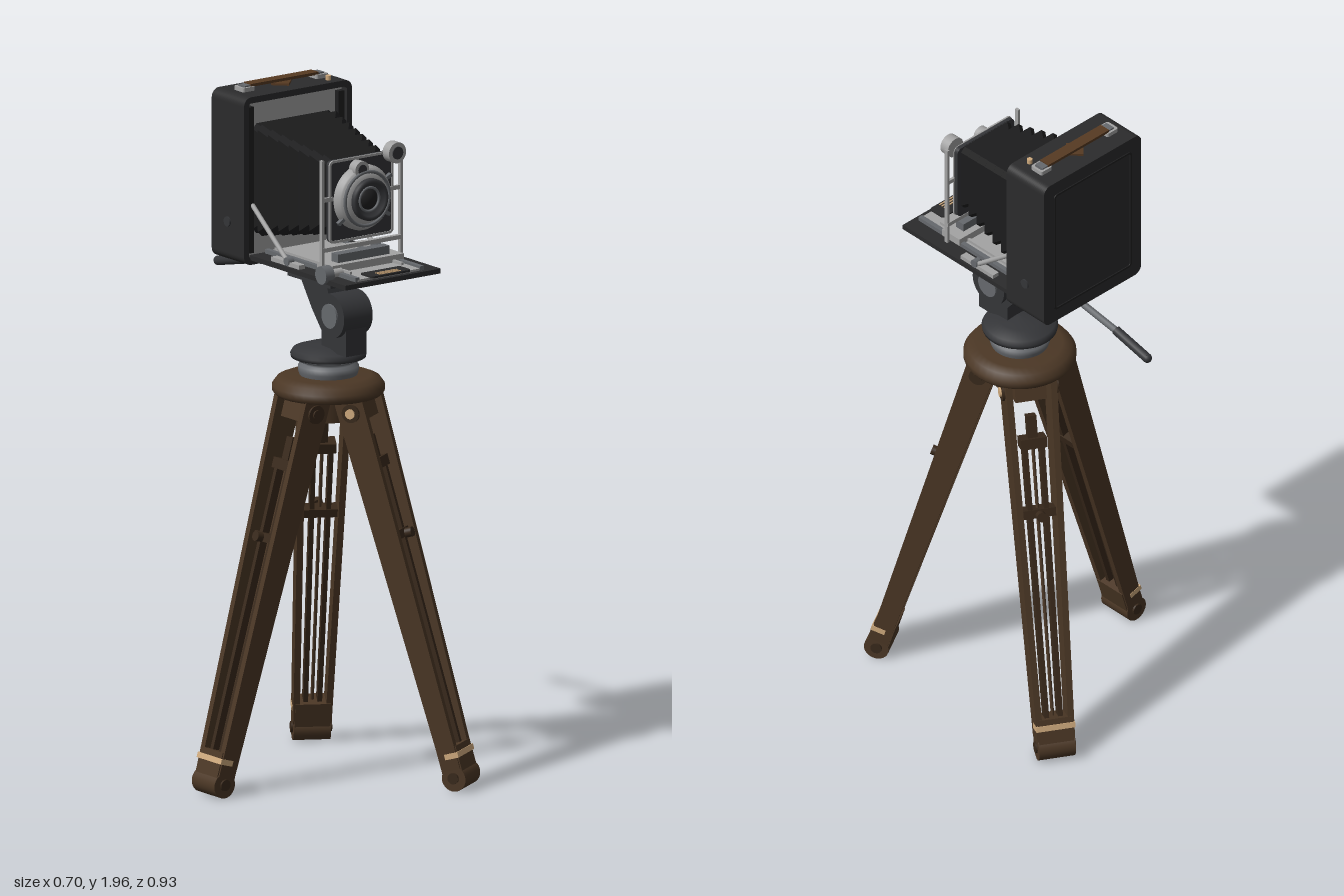
import * as THREE from 'three';

const material = (name, color, side = THREE.FrontSide) => {
  const m = new THREE.MeshStandardMaterial({ color, side });
  m.name = name;
  return m;
};
const M = {
  body: material('black leatherette', 0x2b2b2c),
  bellows: material('bellows black', 0x1f1f20, THREE.DoubleSide),
  head: material('dark metal', 0x343538),
  steel: material('steel grey', 0x66696d),
  silver: material('silver', 0xa3a3a3),
  wood: material('walnut', 0x4b3725),
  darkWood: material('dark walnut', 0x39291b),
  strap: material('brown leather', 0x573a22),
  tan: material('brass tan', 0xd0ab7e),
};
const CX = 0.09, CZ = 0.055; // tripod axis

function add(parent, name, geo, mat, pos = [0, 0, 0], rot = [0, 0, 0]) {
  const mesh = new THREE.Mesh(geo, mat);
  mesh.name = name;
  mesh.position.set(...pos);
  mesh.rotation.set(...rot);
  parent.add(mesh);
  return mesh;
}
const box = (w, h, d) => new THREE.BoxGeometry(w, h, d);
const cyl = (r, h, r2 = r, n = 28) => new THREE.CylinderGeometry(r, r2, h, n);
const H = Math.PI / 2;

// Box whose x/z size shrinks from top to bottom
function taper(w0, w1, h, d) {
  const g = box(1, h, d), p = g.attributes.position;
  for (let i = 0; i < p.count; i++) p.setX(i, p.getX(i) * (p.getY(i) > 0 ? w0 : w1));
  g.computeVertexNormals();
  return g;
}
// Rounded rectangle path centred on the origin
function roundRect(w, h, r, Type = THREE.Shape) {
  const s = new Type(), x = w / 2, y = h / 2;
  s.absarc(x - r, y - r, r, 0, H);
  s.absarc(-x + r, y - r, r, H, 2 * H);
  s.absarc(-x + r, -y + r, r, 2 * H, 3 * H);
  s.absarc(x - r, -y + r, r, 3 * H, 4 * H);
  s.closePath();
  return s;
}
const extrude = (shape, depth) =>
  new THREE.ExtrudeGeometry(shape, { depth, bevelEnabled: false, curveSegments: 6 });
function ring(w, h, r, border, depth) {
  const s = roundRect(w, h, r);
  s.holes.push(roundRect(w - 2 * border, h - 2 * border, Math.max(r - border, 0.004), THREE.Path));
  return extrude(s, depth);
}
const lathe = (pts, n = 40) => new THREE.LatheGeometry(pts.map(p => new THREE.Vector2(...p)), n);
// Straight rod between two points
function rod(parent, name, a, b, r, mat, n = 12) {
  const A = new THREE.Vector3(...a), B = new THREE.Vector3(...b), d = B.clone().sub(A);
  const m = add(parent, name, cyl(r, d.length(), r, n), mat);
  m.position.copy(A).add(B).multiplyScalar(0.5);
  m.quaternion.setFromUnitVectors(new THREE.Vector3(0, 1, 0), d.normalize());
}

function makeLeg(angle) {
  const arm = new THREE.Group();
  arm.name = 'tripodLeg';
  arm.rotation.y = angle;
  const leg = new THREE.Group();
  leg.name = 'legFrame';
  leg.position.set(0.1, 1.1, 0);
  leg.rotation.z = 0.286;
  arm.add(leg);
  const L = 1.08;
  for (const s of [-1, 1]) {
    add(leg, 'outerRail', taper(0.085, 0.055, L, 0.018), M.wood,
      [0, 0.035 - L / 2, s * 0.055], [s * Math.asin(0.02 / L), 0, 0]);
    add(leg, 'innerRail', box(0.034, 0.9, 0.013), M.darkWood, [0, -0.6, s * 0.022], [s * 0.006, 0, 0]);
    add(leg, 'pivotWasher', cyl(0.026, 0.008), M.darkWood, [0, 0, s * 0.076], [H, 0, 0]);
    add(leg, 'pivotBolt', cyl(0.014, 0.01), s > 0 ? M.tan : M.darkWood, [0, 0, s * 0.08], [H, 0, 0]);
    add(leg, 'footBolt', cyl(0.016, 0.006), M.darkWood, [0, -1.068, s * 0.055], [H, 0, 0]);
  }
  add(leg, 'hingeTongue', box(0.07, 0.08, 0.09), M.wood, [-0.01, 0.01, 0]);
  add(leg, 'sliderHead', box(0.045, 0.03, 0.075), M.darkWood, [0, -0.16, 0]);
  add(leg, 'sliderTab', box(0.025, 0.07, 0.028), M.darkWood, [0, -0.115, 0]);
  add(leg, 'centreRod', cyl(0.005, 0.85, 0.005, 8), M.wood, [0, -0.6, 0]);
  add(leg, 'lockKnob', cyl(0.014, 0.02), M.darkWood, [0.043, -0.37, 0], [0, 0, H]);
  add(leg, 'crossBar', box(0.04, 0.025, 0.1), M.darkWood, [0, -0.37, 0]);
  // foot and its clamp
  add(leg, 'footBlock', box(0.062, 0.09, 0.1), M.wood, [0, -1.025, 0]);
  add(leg, 'footTip', cyl(0.036, 0.105), M.wood, [0, -1.07, 0], [H, 0, 0]);
  add(leg, 'footClamp', box(0.042, 0.016, 0.112), M.tan, [0.013, -1.005, 0]);
  return arm;
}

function makeTripod() {
  const g = new THREE.Group();
  g.name = 'tripod';
  g.position.set(CX - 0.003, 0, CZ);
  for (const a of [Math.PI, Math.PI / 3, -Math.PI / 3]) g.add(makeLeg(a));
  add(g, 'hub', cyl(0.095, 0.08, 0.08), M.wood, [0, 1.105, 0]);
  add(g, 'crown', lathe([[0, 1.135], [0.15, 1.135], [0.158, 1.145], [0.158, 1.16], [0.145, 1.178], [0.12, 1.188], [0, 1.19]]), M.wood);
  // levelling collar
  add(g, 'collar', lathe([[0.08, 1.185], [0.085, 1.2], [0.085, 1.215], [0.07, 1.22], [0.07, 1.228], [0.09, 1.232], [0.09, 1.242], [0, 1.242]]), M.steel);
  add(g, 'panDisc', lathe([[0, 1.24], [0.105, 1.24], [0.107, 1.25], [0.1, 1.262], [0.06, 1.275], [0, 1.28]]), M.head);
  return g;
}

function makeHead() {
  const g = new THREE.Group();
  g.name = 'panHead';
  // profile drawn with x = -z, extruded across the width
  const s = new THREE.Shape();
  [[-0.18, 1.265], [-0.065, 1.265], [-0.065, 1.32], [-0.02, 1.375], [0.03, 1.45], [0.05, 1.47], [0.05, 1.49], [-0.08, 1.49], [-0.1, 1.42], [-0.18, 1.38]]
    .forEach((p, i) => (i ? s.lineTo(...p) : s.moveTo(...p)));
  add(g, 'headBlock', extrude(s, 0.07), M.head, [CX - 0.035, 0, 0], [0, H, 0]);
  add(g, 'tiltDrum', cyl(0.063, 0.1), M.head, [CX, 1.375, 0.127], [0, 0, H]);
  add(g, 'tiltCap', cyl(0.035, 0.112), M.steel, [CX, 1.375, 0.127], [0, 0, H]);
  add(g, 'mountPlate', box(0.135, 0.03, 0.2), M.head, [CX, 1.475, 0.05]);
  add(g, 'quickPlate', box(0.11, 0.025, 0.16), M.steel, [CX, 1.498, 0.05]);
  rod(g, 'handleRod', [CX, 1.465, 0], [CX, 1.46, -0.2], 0.01, M.steel);
  rod(g, 'handleRod', [CX, 1.46, -0.2], [CX, 1.437, -0.35], 0.01, M.steel);
  rod(g, 'handleGrip', [CX, 1.44, -0.335], [CX, 1.411, -0.46], 0.0135, M.head, 16);
  add(g, 'gripEnd', new THREE.SphereGeometry(0.0135, 16, 10), M.head, [CX, 1.411, -0.46]);
  return g;
}

function makeBody() {
  const g = new THREE.Group();
  g.name = 'cameraBody';
  const y = 1.737;
  add(g, 'bodyShell', ring(0.377, 0.482, 0.025, 0.018, 0.14), M.body, [CX, y, -0.23]);
  add(g, 'bodyBack', extrude(roundRect(0.377, 0.482, 0.025), 0.012), M.body, [CX, y, -0.24]);
  add(g, 'backPanelRim', ring(0.3, 0.4, 0.012, 0.006, 0.004), M.bellows, [CX, y, -0.243]);
  add(g, 'innerPanel', box(0.342, 0.446, 0.01), M.silver, [CX, y, -0.12]);
  for (const s of [-1, 1]) add(g, 'innerSide', box(0.02, 0.42, 0.02), M.bellows, [CX + s * 0.158, y, -0.108]);
  for (const s of [-1, 1]) add(g, 'sideButton', cyl(0.014, 0.008), M.head, [CX + s * 0.189, 1.61, -0.165], [0, 0, H]);
  // carrying strap on top
  add(g, 'strap', box(0.235, 0.008, 0.034), M.strap, [CX, 1.993, -0.168]);
  add(g, 'strapDiamond', box(0.05, 0.006, 0.05), M.strap, [CX, 1.981, -0.168], [0, Math.PI / 4, 0]);
  for (const s of [-1, 1]) {
    const x = CX + s * 0.128;
    add(g, 'strapLoop', ring(0.042, 0.044, 0.006, 0.007, 0.012), M.silver, [x, 1.978, -0.168], [-H, 0, 0]);
    add(g, 'strapLug', box(0.02, 0.018, 0.03), M.steel, [x, 1.985, -0.168]);
  }
  add(g, 'releaseButton', cyl(0.008, 0.014), M.tan, [0.22, 1.984, -0.122]);
  return g;
}

// Folded bellows from chamfered rectangular cross-sections
function bellowsGeometry(folds) {
  const pos = [], idx = [], rings = folds * 2 + 1;
  for (let i = 0; i < rings; i++) {
    const t = i / (rings - 1), inset = i % 2 ? 0.016 : 0;
    const w = 0.15 - 0.052 * t - inset, h = 0.168 - 0.06 * t - inset, c = 0.014;
    const z = -0.125 + 0.315 * t;
    for (const [x, y] of [[w, h - c], [w - c, h], [c - w, h], [-w, h - c], [-w, c - h], [c - w, -h], [w - c, -h], [w, c - h]])
      pos.push(CX + x, 1.735 + y, z);
    if (i) for (let k = 0; k < 8; k++) {
      const a = (i - 1) * 8 + k, b = (i - 1) * 8 + (k + 1) % 8;
      idx.push(a, b, b + 8, a, b + 8, a + 8);
    }
  }
  const g = new THREE.BufferGeometry();
  g.setAttribute('position', new THREE.Float32BufferAttribute(pos, 3));
  g.setIndex(idx);
  const flat = g.toNonIndexed();
  flat.computeVertexNormals();
  return flat;
}

function makeBed() {
  const g = new THREE.Group();
  g.name = 'dropBed';
  add(g, 'bedPlate', box(0.333, 0.014, 0.445), M.body, [CX, 1.517, 0.128]);
  add(g, 'trackPlate', box(0.225, 0.006, 0.42), M.silver, [CX, 1.527, 0.125]);
  for (const s of [-1, 1]) {
    add(g, 'trackRail', box(0.014, 0.012, 0.42), M.steel, [CX + s * 0.113, 1.53, 0.125]);
    add(g, 'trackInner', box(0.008, 0.01, 0.35), M.silver, [CX + s * 0.09, 1.533, 0.1]);
    rod(g, 'bedStrut', [CX + s * 0.152, 1.53, 0.07], [CX + s * 0.152, 1.665, -0.1], 0.007, M.silver);
    add(g, 'strutFoot', box(0.022, 0.012, 0.13), M.silver, [CX + s * 0.148, 1.53, 0.06]);
    add(g, 'strutPivot', cyl(0.012, 0.02), M.steel, [CX + s * 0.152, 1.537, 0.07], [0, 0, H]);
  }
  add(g, 'focusKnob', cyl(0.026, 0.03, 0.026, 20), M.steel, [-0.072, 1.535, 0.25], [0, 0, H]);
  add(g, 'focusShaft', cyl(0.012, 0.05), M.silver, [-0.04, 1.535, 0.25], [0, 0, H]);
  add(g, 'frontPlaque', extrude(roundRect(0.14, 0.055, 0.01), 0.006), M.body, [CX, 1.528, 0.316], [-H, 0, 0]);
  for (let i = 0; i < 3; i++) add(g, 'plaqueStripe', box(0.075, 0.002, 0.004), M.tan, [CX, 1.535, 0.318 + i * 0.009]);
  return g;
}

function makeFrontStandard() {
  const g = new THREE.Group();
  g.name = 'frontStandard';
  add(g, 'standardBase', box(0.25, 0.022, 0.07), M.silver, [CX, 1.54, 0.2]);
  add(g, 'standardFoot', box(0.18, 0.03, 0.03), M.steel, [CX, 1.56, 0.2]);
  for (const s of [-1, 1]) {
    add(g, 'sidePost', box(0.008, 0.32, 0.012), M.silver, [CX + s * 0.137, 1.69, 0.203]);
    add(g, 'postLink', box(0.04, 0.012, 0.008), M.silver, [CX + s * 0.12, 1.735, 0.203]);
  }
  add(g, 'crossRail', box(0.28, 0.012, 0.014), M.silver, [CX, 1.592, 0.203]);
  add(g, 'lensBoard', extrude(roundRect(0.22, 0.235, 0.015), 0.014), M.head, [CX, 1.725, 0.188]);
  add(g, 'boardTrim', ring(0.224, 0.238, 0.015, 0.007, 0.005), M.silver, [CX, 1.725, 0.2]);
  // shutter and lens, turned about the lens axis
  const c = [0.088, 1.727, 0.2], r = [H, 0, 0];
  add(g, 'shutter', lathe([[0.094, 0], [0.094, 0.016], [0.086, 0.022], [0.086, 0.03], [0.07, 0.034], [0.066, 0.04], [0.05, 0.04]]), M.silver, c, r);
  add(g, 'shutterDial', new THREE.TorusGeometry(0.077, 0.005, 8, 40), M.steel, [c[0], c[1], 0.233]);
  add(g, 'lensBarrel', lathe([[0.06, 0.03], [0.06, 0.052], [0.054, 0.056], [0.048, 0.054], [0.034, 0.04], [0, 0.04]]), M.head, c, r);
  add(g, 'lensRim', new THREE.TorusGeometry(0.034, 0.004, 8, 32), M.steel, [c[0], c[1], 0.243]);
  add(g, 'lensGlass', new THREE.SphereGeometry(0.045, 24, 8, 0, Math.PI * 2, 0, 0.78), M.bellows, [c[0], c[1], 0.207], r);
  for (const [x, y, q] of [[0.072, 1.812, 0.024], [0.195, 1.842, 0.03]]) {
    add(g, 'viewfinder', cyl(q, 0.03), M.silver, [x, y, 0.217], r);
    add(g, 'viewfinderLens', cyl(q * 0.6, 0.004), M.head, [x, y, 0.233], r);
  }
  for (const a of [-2.5, -0.6, 0.5])
    add(g, 'shutterLever', box(0.022, 0.01, 0.012), M.steel, [c[0] + 0.098 * Math.cos(a), c[1] + 0.098 * Math.sin(a), 0.215], [0, 0, a]);
  return g;
}

export function createModel() {
  const model = new THREE.Group();
  model.name = 'bellowsCameraOnTripod';
  model.add(makeTripod(), makeHead(), makeBody(), makeBed(), makeFrontStandard());
  add(model, 'bellows', bellowsGeometry(8), M.bellows);
  return model;
}
